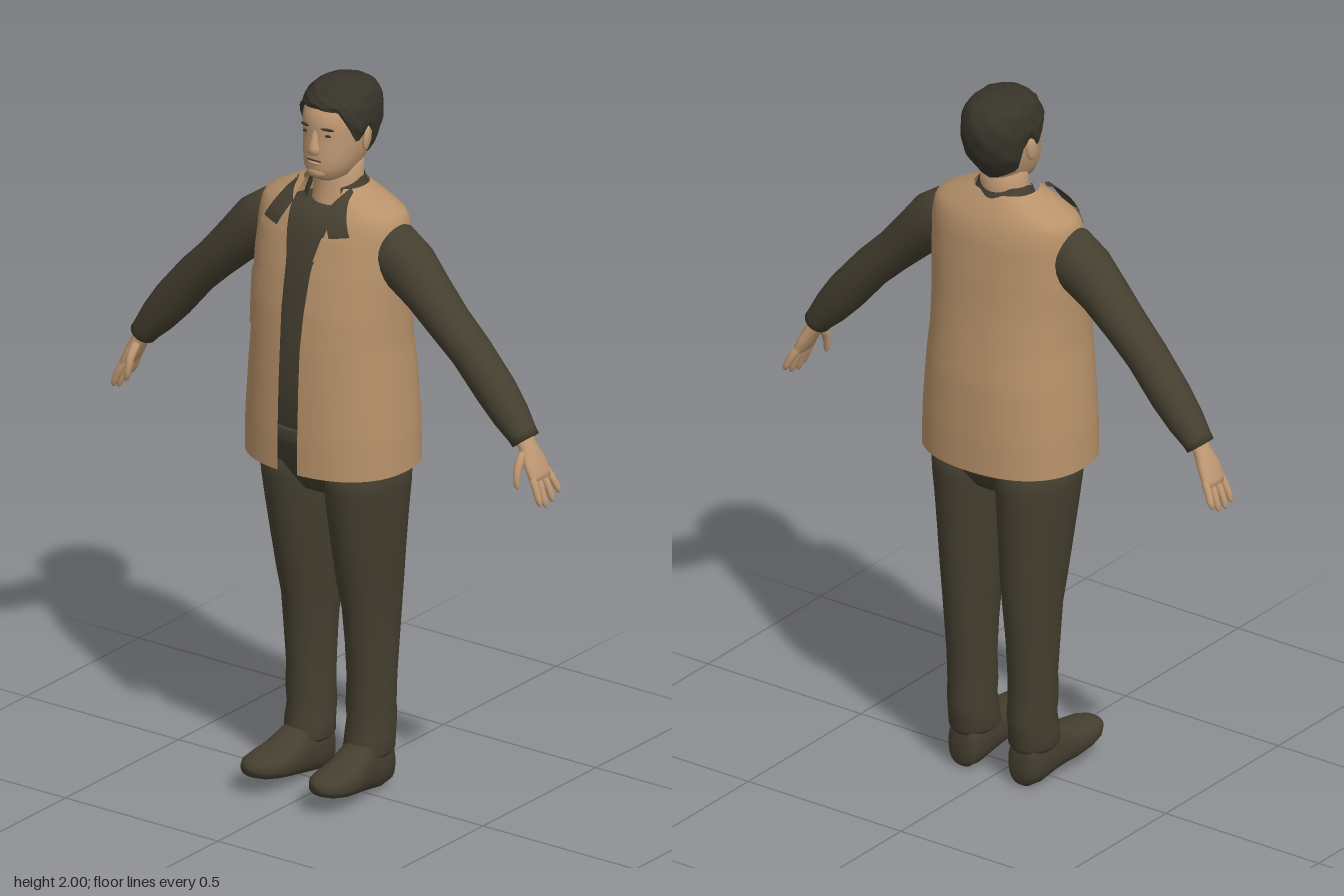
import * as THREE from 'three';

const V = (x, y, z) => new THREE.Vector3(x, y, z);
const mat = (name, color, side = THREE.FrontSide) => {
  const m = new THREE.MeshStandardMaterial({ color, side });
  m.name = name;
  return m;
};

// Skin a list of point rings; closed joins each ring, caps fill both ends
function loft(rings, closed = true, caps = true) {
  const n = rings[0].length, pos = [], idx = [];
  rings.forEach(r => r.forEach(p => pos.push(p.x, p.y, p.z)));
  for (let i = 0; i < rings.length - 1; i++)
    for (let j = 0; j < (closed ? n : n - 1); j++) {
      const a = i * n + j, b = i * n + (j + 1) % n;
      idx.push(a, b, a + n, b, b + n, a + n);
    }
  if (caps) [0, rings.length - 1].forEach((k, end) => {
    const c = rings[k].reduce((s, p) => s.add(p), V(0, 0, 0)).divideScalar(n);
    const ci = pos.push(c.x, c.y, c.z) / 3 - 1;
    for (let j = 0; j < n; j++) {
      const a = k * n + j, b = k * n + (j + 1) % n;
      if (end) idx.push(ci, a, b); else idx.push(ci, b, a);
    }
  });
  const g = new THREE.BufferGeometry();
  g.setAttribute('position', new THREE.Float32BufferAttribute(pos, 3));
  g.setIndex(idx);
  g.computeVertexNormals();
  return g;
}

// Mirror an indexed geometry across x = 0, keeping faces outward
function mirror(geo) {
  const g = geo.clone().scale(-1, 1, 1), a = g.index.array;
  for (let i = 0; i < a.length; i += 3) [a[i], a[i + 1]] = [a[i + 1], a[i]];
  g.computeVertexNormals();
  return g;
}

// Linear lookup in rows sorted by their first value
function sample(rows, t) {
  let i = 0;
  while (i < rows.length - 2 && t > rows[i + 1][0]) i++;
  const k = THREE.MathUtils.clamp((t - rows[i][0]) / (rows[i + 1][0] - rows[i][0]), 0, 1);
  return rows[i].map((v, j) => v + (rows[i + 1][j] - v) * k);
}

// Point on a body whose rows are [y, halfWidth, zFront, zBack]
function surf(rows, y, th, off = 0, n = 2.3) {
  const [, rx, zf, zb] = sample(rows, y), s = Math.sin(th), c = Math.cos(th);
  const r = (Math.abs(s) ** n + Math.abs(c) ** n) ** (-1 / n);
  return V((rx + off) * r * s, y, (zf + zb) / 2 + ((zf - zb) / 2 + off) * r * c);
}
const around = (n, f) => Array.from({ length: n }, (_, j) => f(j / n * Math.PI * 2));
const body = (rows, seg = 36, n = 2.3) => loft(rows.map(r => around(seg, th => surf(rows, r[0], th, 0, n))));

// Tapered limb through [x, y, z, radiusAlongZ, radiusAcross]
function limb(path, seg = 16) {
  const P = path.map(p => V(p[0], p[1], p[2]));
  return loft(path.map((p, i) => {
    const t = P[Math.min(i + 1, P.length - 1)].clone().sub(P[Math.max(i - 1, 0)]).normalize();
    const u = V(0, 0, 1).addScaledVector(t, -t.z).normalize(), v = t.clone().cross(u);
    return around(seg, a => P[i].clone().addScaledVector(u, p[3] * Math.cos(a)).addScaledVector(v, p[4] * Math.sin(a)));
  }));
}

const VEST = [[0.945, 0.24, 0.183, -0.208], [1.05, 0.238, 0.183, -0.207], [1.2, 0.228, 0.178, -0.2],
  [1.3, 0.22, 0.172, -0.188], [1.4, 0.22, 0.162, -0.176], [1.5, 0.223, 0.142, -0.167], [1.6, 0.222, 0.115, -0.156],
  [1.64, 0.218, 0.1, -0.146], [1.665, 0.205, 0.085, -0.135], [1.69, 0.155, 0.068, -0.12], [1.72, 0.09, 0.045, -0.1]];
const HEAD = [[1.738, 0.035, 0.048, -0.07], [1.75, 0.052, 0.068, -0.09], [1.78, 0.067, 0.079, -0.112],
  [1.81, 0.076, 0.076, -0.132], [1.84, 0.082, 0.074, -0.15], [1.87, 0.085, 0.07, -0.16], [1.9, 0.087, 0.073, -0.166],
  [1.93, 0.084, 0.066, -0.163], [1.96, 0.074, 0.045, -0.15], [1.98, 0.055, 0.02, -0.122], [1.988, 0.028, -0.01, -0.085]];

// Thin patch lying on the vest front, from four (x, y) corners
function patch(corners, off, k = 8) {
  const [a, b, c, d] = corners, n = 2.3, rows = [];
  for (let i = 0; i <= k; i++) rows.push(Array.from({ length: k + 1 }, (_, j) => {
    const u = j / k, v = i / k;
    const at = q => (a[q] * (1 - u) + b[q] * u) * (1 - v) + (d[q] * (1 - u) + c[q] * u) * v;
    const x = at(0), y = at(1), [, rx, zf, zb] = sample(VEST, y);
    const h = Math.max(0, 1 - Math.min(1, Math.abs(x / rx)) ** n) ** (1 / n);
    return V(x, y, (zf + zb) / 2 + (zf - zb) / 2 * h + off);
  }));
  return loft(rows, false, false);
}

export function createModel() {
  const root = new THREE.Group();
  const cloth = mat('dark olive cloth', 0x453f30, THREE.DoubleSide);
  const tan = mat('tan vest', 0xb8926a, THREE.DoubleSide);
  const skin = mat('skin', 0xbf9873);
  const hairM = mat('dark hair', 0x38342a, THREE.DoubleSide);
  const add = (name, geo, m) => {
    const mesh = new THREE.Mesh(geo, m);
    mesh.name = name;
    root.add(mesh);
    return mesh;
  };
  const pair = (name, geo, m) => {
    add(name + 'Left', geo, m);
    add(name + 'Right', mirror(geo), m);
  };

  // Vest shell, open at the front with a slightly uneven edge
  const GAP = [[0.945, 0.025, 0.04], [1.3, 0.025, 0.04], [1.52, 0.036, 0.046], [1.6, 0.055, 0.06], [1.66, 0.068, 0.068], [1.72, 0.06, 0.06]];
  const vestRows = [];
  for (let i = 0; i <= 40; i++) {
    const y = 0.945 + 0.775 * i / 40, [, gl, gr] = sample(GAP, y), rx = sample(VEST, y)[1];
    const a0 = Math.asin(gl / rx), a1 = Math.PI * 2 - Math.asin(gr / rx);
    vestRows.push(Array.from({ length: 61 }, (_, j) => surf(VEST, y, a0 + (a1 - a0) * j / 60)));
  }
  add('vest', loft(vestRows, false, false), tan);
  pair('chestPocket', patch([[0.12, 1.31], [0.195, 1.31], [0.195, 1.46], [0.115, 1.49]], 0.007), tan);
  pair('vestLapel', patch([[0.045, 1.545], [0.16, 1.6], [0.145, 1.645], [0.06, 1.61]], 0.014), tan);
  pair('collarFlap', patch([[0.085, 1.615], [0.14, 1.625], [0.085, 1.73], [0.055, 1.68]], 0.022), cloth);

  // Collar band around the neck, lower at the front
  const collar = [0, 1, 2].map(k => Array.from({ length: 33 }, (_, j) => {
    const a = 0.65 + (Math.PI * 2 - 1.3) * j / 32, c = Math.cos(a), r = 0.092 - 0.009 * k;
    return V(r * Math.sin(a), 1.69 + 0.024 * k - 0.028 * Math.max(0, c), -0.033 + (r - 0.01) * c);
  }));
  add('collarBand', loft(collar, false, false), cloth);

  // Shirt and belt
  add('shirt', body([[0.96, 0.205, 0.155, -0.18], [1.2, 0.205, 0.157, -0.178], [1.4, 0.2, 0.142, -0.155],
    [1.52, 0.2, 0.122, -0.145], [1.6, 0.195, 0.098, -0.135], [1.635, 0.15, 0.078, -0.12], [1.665, 0.08, 0.05, -0.105]]), cloth);
  add('belt', body([[1.02, 0.209, 0.163, -0.184], [1.025, 0.212, 0.167, -0.187], [1.055, 0.212, 0.167, -0.187], [1.06, 0.209, 0.163, -0.184]]), cloth);

  // Sleeves
  pair('sleeve', limb([[0.15, 1.565, -0.015, 0.07, 0.075], [0.2, 1.56, -0.015, 0.073, 0.086], [0.25, 1.53, -0.014, 0.072, 0.08],
    [0.31, 1.475, -0.012, 0.067, 0.066], [0.38, 1.405, -0.012, 0.062, 0.058], [0.45, 1.338, -0.015, 0.058, 0.056],
    [0.53, 1.245, -0.018, 0.056, 0.056], [0.58, 1.185, -0.018, 0.051, 0.049], [0.615, 1.143, -0.018, 0.043, 0.039],
    [0.627, 1.127, -0.018, 0.042, 0.037]], 24), cloth);

  // Hands with four fingers and a thumb
  pair('palm', limb([[0.61, 1.15, -0.018, 0.028, 0.024], [0.632, 1.115, -0.018, 0.028, 0.021], [0.652, 1.08, -0.018, 0.041, 0.02],
    [0.672, 1.04, -0.02, 0.045, 0.016], [0.678, 1.028, -0.02, 0.04, 0.01]]), skin);
  [[0.013, 0.005, 0.968], [-0.01, 0.004, 0.958], [-0.033, -0.004, 0.963], [-0.055, -0.01, 0.98]].forEach(([z, dz, tip], i) => {
    const d = 1.038 - tip;
    pair('finger' + (i + 1), limb([[0.668, 1.045, z, 0.01, 0.011], [0.684, 1.038 - d * 0.35, z + dz * 0.5, 0.0105, 0.0105],
      [0.694, 1.038 - d * 0.7, z + dz, 0.0095, 0.0095], [0.699, tip + 0.008, z + dz, 0.008, 0.008], [0.7, tip, z + dz, 0.003, 0.003]], 10), skin);
  });
  pair('thumb', limb([[0.636, 1.1, 0.005, 0.012, 0.013], [0.636, 1.07, 0.028, 0.012, 0.012], [0.637, 1.04, 0.037, 0.01, 0.01],
    [0.64, 1.018, 0.039, 0.008, 0.008], [0.641, 1.01, 0.039, 0.003, 0.003]], 10), skin);

  // Trousers: hips plus legs from [y, inner x, outer x, back z, front z]
  add('hips', body([[0.86, 0.1, 0.075, -0.125], [0.9, 0.175, 0.1, -0.15], [0.94, 0.208, 0.12, -0.167], [1.03, 0.205, 0.15, -0.178]]), cloth);
  const LEG = [[0.1, 0.045, 0.152, -0.105, 0.03], [0.115, 0.032, 0.163, -0.114, 0.038], [0.16, 0.034, 0.163, -0.118, 0.032],
    [0.2, 0.036, 0.16, -0.125, 0.025], [0.24, 0.034, 0.163, -0.118, 0.026], [0.32, 0.036, 0.163, -0.122, 0.025],
    [0.42, 0.034, 0.167, -0.132, 0.035], [0.52, 0.027, 0.172, -0.142, 0.045], [0.6, 0.02, 0.178, -0.15, 0.066],
    [0.7, 0.013, 0.187, -0.155, 0.085], [0.8, 0.006, 0.197, -0.16, 0.102], [0.88, 0, 0.206, -0.165, 0.113], [0.97, 0, 0.21, -0.167, 0.122]];
  pair('trouserLeg', loft(LEG.map(([y, x0, x1, z0, z1]) => around(28, a =>
    V((x0 + x1) / 2 + (x1 - x0) / 2 * Math.sin(a), y, (z0 + z1) / 2 + (z1 - z0) / 2 * Math.cos(a))))), cloth);

  // Shoes from [z, centre x, half width, bottom y, top y], toes lifted
  const SHOE = [[-0.103, 0.098, 0.025, 0.02, 0.1], [-0.095, 0.098, 0.044, 0.003, 0.13], [-0.05, 0.1, 0.052, 0, 0.16],
    [0, 0.101, 0.052, 0.008, 0.16], [0.04, 0.103, 0.054, 0.016, 0.142], [0.08, 0.106, 0.06, 0.024, 0.12],
    [0.13, 0.109, 0.061, 0.034, 0.11], [0.175, 0.111, 0.052, 0.045, 0.106], [0.2, 0.112, 0.036, 0.055, 0.1], [0.212, 0.112, 0.014, 0.068, 0.088]];
  pair('shoe', loft(SHOE.map(([z, cx, w, y0, y1]) => around(24, a => {
    const s = Math.sin(a), c = Math.cos(a), r = (Math.abs(s) ** 2.6 + Math.abs(c) ** 2.6) ** (-1 / 2.6);
    return V(cx + w * r * c, (y0 + y1) / 2 + (y1 - y0) / 2 * r * s, z);
  }))), cloth);

  // Neck and head
  add('neck', body([[1.6, 0.075, 0.045, -0.1], [1.67, 0.069, 0.035, -0.102], [1.72, 0.066, 0.024, -0.102], [1.79, 0.064, 0.02, -0.105]], 28, 2), skin);
  add('head', body(HEAD, 36, 2.2), skin);
  const ball = (name, x, y, z, sx, sy, sz, m) => {
    const b = add(name, new THREE.SphereGeometry(1, 14, 10), m);
    b.scale.set(sx, sy, sz);
    b.position.set(x, y, z);
    return b;
  };
  add('nose', limb([[0, 1.885, 0.066, 0.006, 0.008], [0, 1.86, 0.07, 0.011, 0.011], [0, 1.838, 0.074, 0.019, 0.016],
    [0, 1.827, 0.073, 0.017, 0.019], [0, 1.82, 0.068, 0.008, 0.01]], 12), skin);
  ball('chin', 0, 1.768, 0.058, 0.032, 0.02, 0.022, skin);
  ball('mouth', 0, 1.803, 0.075, 0.024, 0.0025, 0.004, hairM);
  ball('lowerLip', 0, 1.795, 0.074, 0.02, 0.006, 0.007, skin);
  for (const s of [-1, 1]) {
    ball('eye', s * 0.034, 1.875, 0.061, 0.012, 0.004, 0.005, hairM);
    ball('eyebrow', s * 0.036, 1.894, 0.064, 0.019, 0.004, 0.005, hairM).rotation.set(0, s * 0.35, -s * 0.08);
    ball('ear', s * 0.089, 1.85, -0.04, 0.009, 0.034, 0.018, skin).rotation.set(-0.2, s * 0.25, 0);
  }

  // Short hair: head surface above a hairline that dips at sideburns and nape
  const LINE = [[0, 1.943], [0.7, 1.938], [0.95, 1.9], [1.2, 1.85], [1.4, 1.85], [1.55, 1.885], [1.8, 1.86], [2.05, 1.795], [3.15, 1.765]];
  const hairRows = [];
  for (let i = 0; i <= 18; i++) {
    const t = i / 18;
    hairRows.push(around(56, th => {
      const y0 = sample(LINE, Math.min(th, Math.PI * 2 - th))[1];
      const off = 0.002 + 0.008 * Math.min(1, t * 5) + 0.002 * Math.sin(9 * th) * Math.sin(t * 18);
      const p = surf(HEAD, y0 + (1.988 - y0) * t, th, off, 2.2);
      p.y += 0.01 * t;
      return p;
    }));
  }
  const cap = V(0, 0, 0);
  hairRows[18].forEach(p => cap.addScaledVector(p, 1 / 56));
  hairRows.push(hairRows[18].map(p => p.clone().lerp(cap, 0.98).setY(2)));
  add('hair', loft(hairRows, true, false), hairM);
  return root;
}
